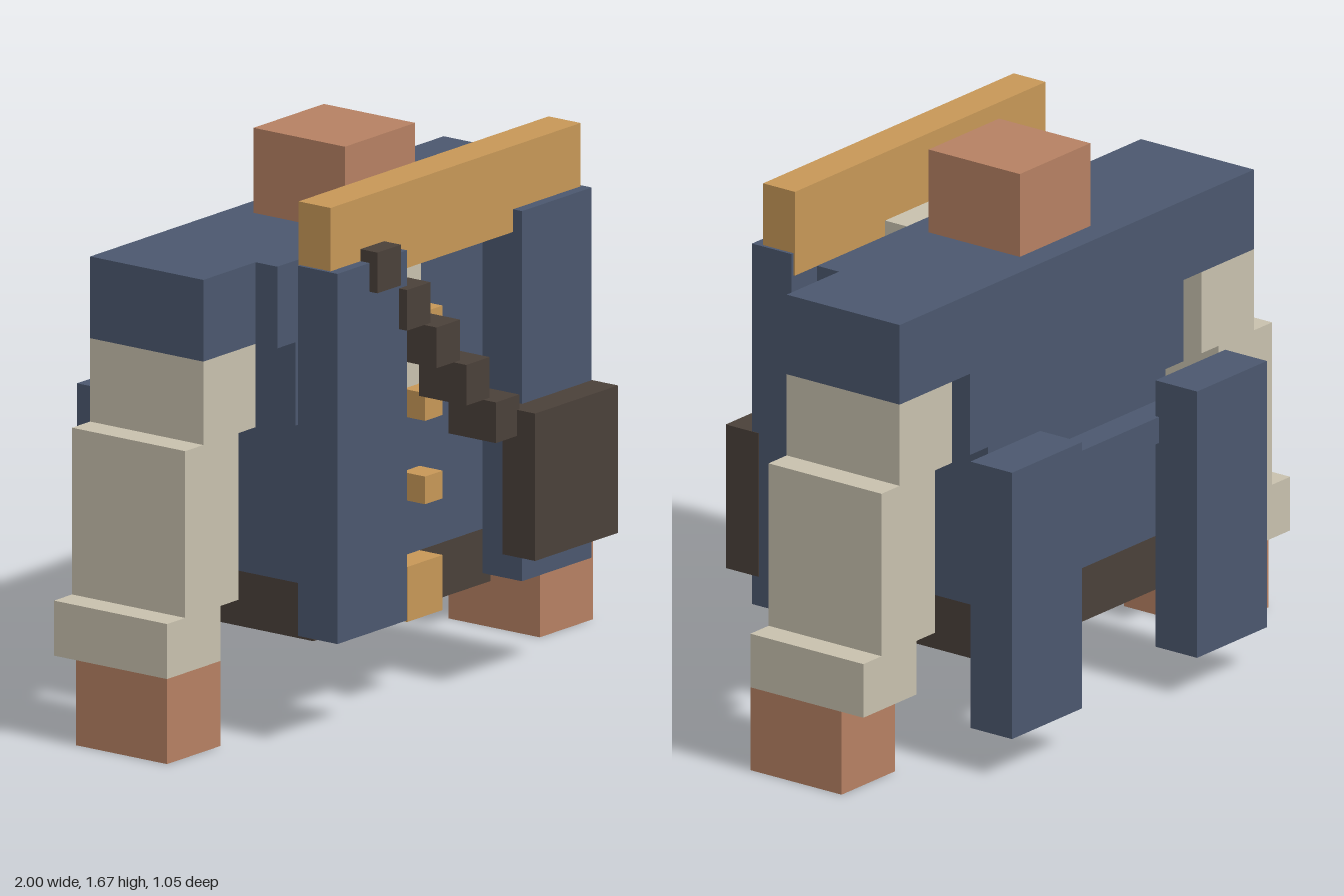
import * as THREE from 'three';

const mat = (name, color) => {
  const m = new THREE.MeshStandardMaterial({ color });
  m.name = name;
  return m;
};

export function createModel() {
  const navy = mat('navy cloth', 0x4b576e);
  const cream = mat('cream linen', 0xc7c0ad);
  const skin = mat('skin', 0xb58062);
  const gold = mat('gold', 0xc69757);
  const leather = mat('dark leather', 0x4a4039);
  const group = new THREE.Group();

  // Box given by its low and high bounds on each axis
  const box = (name, material, [x0, x1], [y0, y1], [z0, z1]) => {
    const mesh = new THREE.Mesh(new THREE.BoxGeometry(x1 - x0, y1 - y0, z1 - z0), material);
    mesh.position.set((x0 + x1) / 2, (y0 + y1) / 2, (z0 + z1) / 2);
    mesh.name = name;
    group.add(mesh);
  };
  const centred = (name, material, half, y, z) => box(name, material, [-half, half], y, z);
  const pair = (name, material, [x0, x1], y, z) => {
    box(name + 'Left', material, [x0, x1], y, z);
    box(name + 'Right', material, [-x1, -x0], y, z);
  };

  // Torso tapering to the waist
  const body = [-0.295, 0.2];
  centred('chest', navy, 0.585, [1.17, 1.415], body);
  centred('ribs', navy, 0.5, [0.92, 1.17], body);
  centred('waist', navy, 0.415, [0.42, 0.92], body);
  centred('belt', leather, 0.415, [0.255, 0.42], body);
  centred('neck', skin, 0.165, [1.415, 1.67], [-0.215, 0.12]);

  // Arms stepping outward to the hands
  const arm = [-0.295, 0.12];
  pair('shoulder', navy, [0.585, 0.83], [1.17, 1.415], arm);
  pair('upperSleeve', cream, [0.585, 0.83], [0.92, 1.17], arm);
  pair('lowerSleeve', cream, [0.665, 0.915], [0.42, 0.92], arm);
  pair('cuff', cream, [0.75, 1], [0.255, 0.42], arm);
  pair('hand', skin, [0.75, 1], [0, 0.255], [-0.215, 0.12]);

  // Shirt front, collar, buttons and buckle
  centred('shirtFront', cream, 0.083, [0.92, 1.335], [0.2, 0.206]);
  centred('collar', cream, 0.165, [1.335, 1.415], [0.2, 0.28]);
  for (const y of [0.59, 0.84, 1.085]) box('button', gold, [0, 0.083], [y, y + 0.083], [0.2, 0.285]);
  centred('buckle', gold, 0.083, [0.255, 0.42], [0.2, 0.285]);

  // Open coat: front panels, back strap and tails
  pair('coatPanel', navy, [0.27, 0.597], [0.325, 1.435], [0.285, 0.43]);
  centred('backStrap', navy, 0.415, [0.755, 0.835], [-0.385, -0.295]);
  pair('coatTail', navy, [0.27, 0.597], [0.125, 0.945], [-0.525, -0.372]);
  centred('collarBar', gold, 0.587, [1.367, 1.625], [0.28, 0.397]);

  // Diagonal bandolier and its pouch
  for (let i = 0; i < 5; i++) {
    const x = -0.391 + i * 0.139, y = 1.41 - i * 0.1425;
    box('bandolierBlock', leather, [x - 0.055, x + 0.055], [y - 0.061, y + 0.061], [0.285, 0.459]);
  }
  box('pouch', leather, [0.21, 0.599], [0.415, 0.857], [0.405, 0.525]);

  return group;
}
